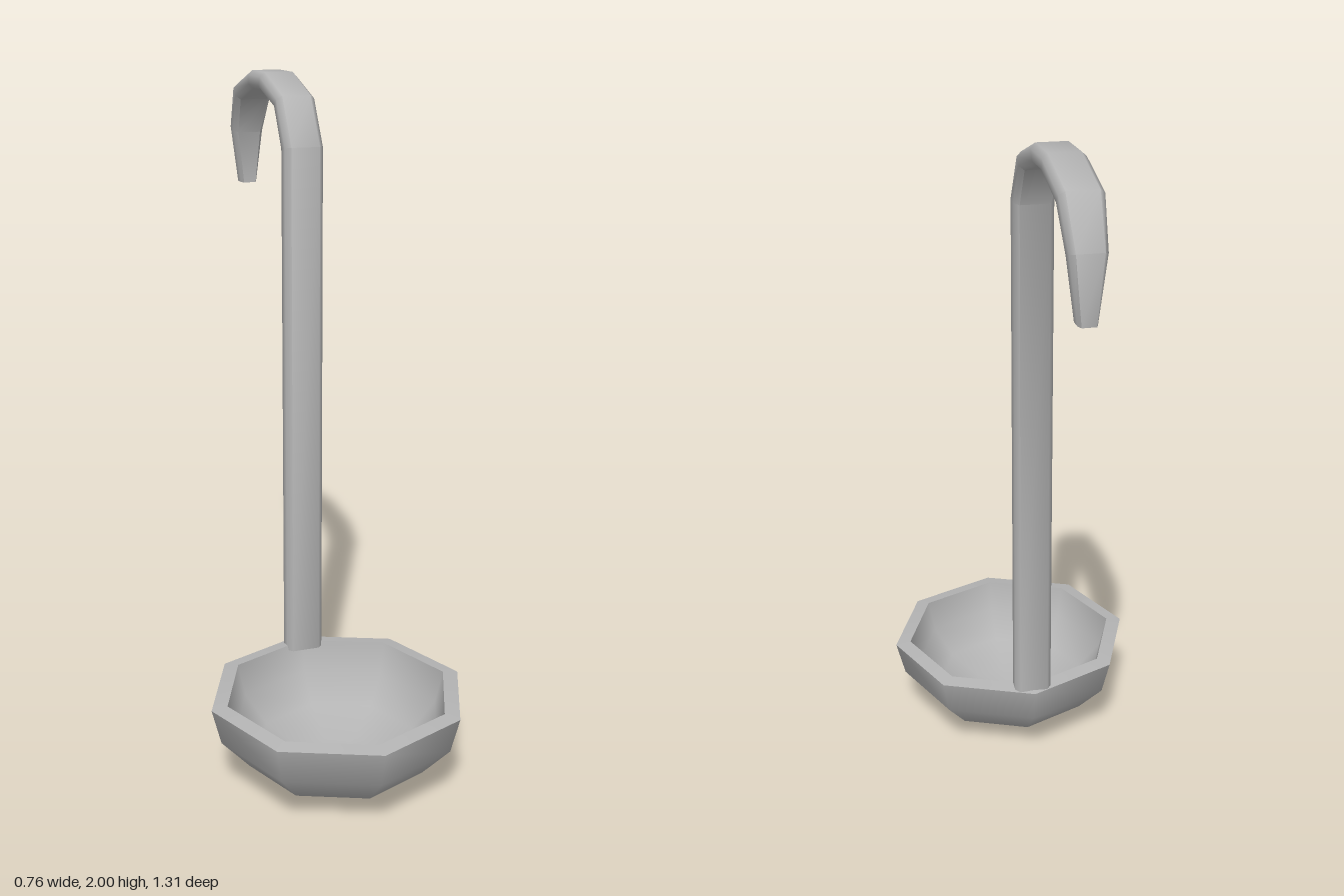
import * as THREE from 'three';
import { toCreasedNormals } from 'three/addons/utils/BufferGeometryUtils.js';

const steel = new THREE.MeshStandardMaterial({ color: 0xb4b4b4 });
steel.name = 'steel grey';

// Eight-sided surface of revolution from [radius, height] pairs
function lathe(name, points) {
  const profile = points.map(([r, y]) => new THREE.Vector2(r, y));
  const mesh = new THREE.Mesh(new THREE.LatheGeometry(profile, 8), steel);
  mesh.name = name;
  return mesh;
}

// Chamfered bar swept through stations: [outer z, outer y, inner z, inner y, half width]
function sweptBar(stations) {
  const section = [[1, 0.75], [0.5, 1], [-0.5, 1], [-1, 0.75],
    [-1, -0.75], [-0.5, -1], [0.5, -1], [1, -0.75]];
  const n = section.length;
  const positions = [];
  for (const [oz, oy, iz, iy, w] of stations) {
    for (const [o, x] of section) {
      const t = (1 - o) / 2;
      positions.push(x * w, THREE.MathUtils.lerp(oy, iy, t), THREE.MathUtils.lerp(oz, iz, t));
    }
  }
  const index = [];
  const last = (stations.length - 1) * n;
  for (let s = 0; s < last; s += n) {
    for (let i = 0; i < n; i++) {
      const a = s + i, b = s + (i + 1) % n;
      index.push(a, b, b + n, a, b + n, a + n);
    }
  }
  // End caps
  for (let i = 1; i < n - 1; i++) {
    index.push(0, i + 1, i, last, last + i, last + i + 1);
  }
  const geometry = new THREE.BufferGeometry();
  geometry.setAttribute('position', new THREE.Float32BufferAttribute(positions, 3));
  geometry.setIndex(index);
  return toCreasedNormals(geometry, THREE.MathUtils.degToRad(55));
}

export function createModel() {
  const model = new THREE.Group();
  model.name = 'ladle';

  // Bowl: outer shell, flat rim and hollow inside
  const bowl = new THREE.Group();
  bowl.name = 'bowl';
  bowl.position.z = 0.273;
  bowl.add(
    lathe('bowlOutside', [[0, 0], [0.145, 0.02], [0.27, 0.08], [0.353, 0.17], [0.38, 0.277]]),
    lathe('bowlRim', [[0.38, 0.277], [0.333, 0.284]]),
    lathe('bowlInside', [[0.333, 0.284], [0.31, 0.19], [0.238, 0.11], [0.128, 0.06], [0, 0.043]])
  );
  model.add(bowl);

  // Handle: straight shaft bending back into a hook with a narrowing tip
  const handle = new THREE.Mesh(sweptBar([
    [-0.022, 0.27, -0.088, 0.27, 0.056],
    [-0.022, 1.81, -0.088, 1.8, 0.056],
    [-0.105, 1.945, -0.148, 1.905, 0.056],
    [-0.27, 2, -0.3, 1.947, 0.056],
    [-0.4, 2, -0.39, 1.947, 0.056],
    [-0.575, 1.948, -0.533, 1.905, 0.056],
    [-0.653, 1.82, -0.588, 1.8, 0.047],
    [-0.653, 1.643, -0.588, 1.643, 0.025]
  ]), steel);
  handle.name = 'hookedHandle';
  model.add(handle);

  return model;
}
